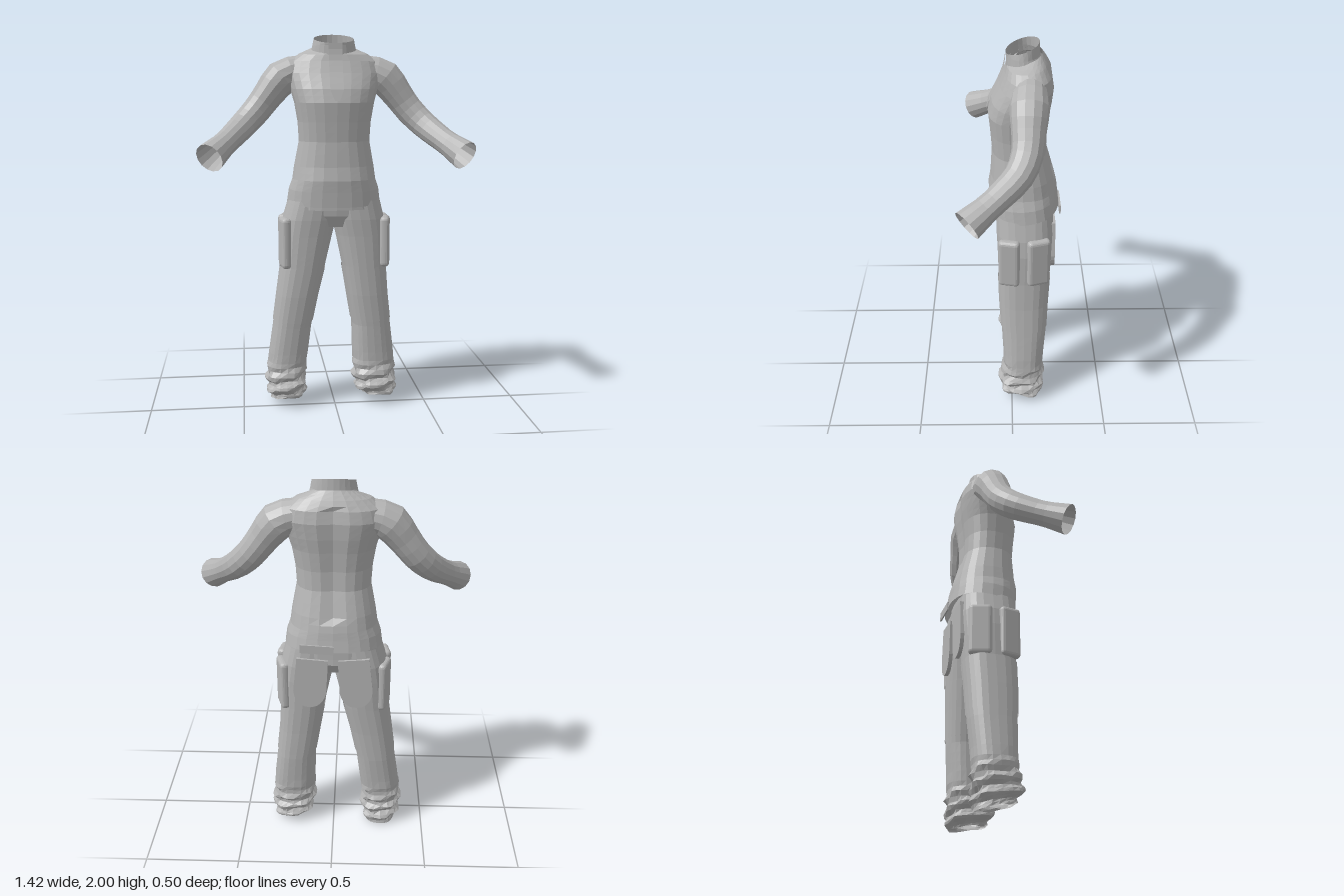
import * as THREE from 'three';
import { RoundedBoxGeometry } from 'three/addons/geometries/RoundedBoxGeometry.js';

const cloth = new THREE.MeshStandardMaterial({ color: 0xb4b4b4, flatShading: true, side: THREE.DoubleSide });
cloth.name = 'grey cloth';

const lerp = THREE.MathUtils.lerp;

function add(parent, name, geometry) {
  const mesh = new THREE.Mesh(geometry, cloth);
  mesh.name = name;
  parent.add(mesh);
  return mesh;
}

// Interpolates a table of rows along its first column
function sample(rows, y) {
  let i = 0;
  while (i < rows.length - 2 && y > rows[i + 1][0]) i++;
  const t = (y - rows[i][0]) / (rows[i + 1][0] - rows[i][0]);
  return rows[i].map((v, k) => lerp(v, rows[i + 1][k], t));
}

// Skin over horizontal rings, from the bottom up.
// Row: [y, xMin, xMax, zBack, zFront, tilt], tilt lifts the front edge
function loft(rows, { seg = 24, steps = 1, power = 0.85, rule = null } = {}) {
  const pos = [], idx = [];
  const heights = [];
  rows.forEach((r, i) => {
    if (i === rows.length - 1) heights.push(r[0]);
    else for (let s = 0; s < steps; s++) heights.push(lerp(r[0], rows[i + 1][0], s / steps));
  });
  const soft = (v) => Math.sign(v) * Math.abs(v) ** power;
  for (const h of heights) {
    const [y, x0, x1, zb, zf, tilt] = sample(rows, h);
    for (let j = 0; j < seg; j++) {
      const a = (j / seg) * Math.PI * 2;
      const u = soft(Math.cos(a)), w = soft(Math.sin(a));
      const p = new THREE.Vector3((x0 + x1) / 2 + (u * (x1 - x0)) / 2, y + tilt * w, (zb + zf) / 2 + (w * (zf - zb)) / 2);
      if (rule) rule(p, a, u, w);
      pos.push(p.x, p.y, p.z);
    }
  }
  for (let i = 0; i < heights.length - 1; i++) {
    for (let j = 0; j < seg; j++) {
      const a = i * seg + j, b = i * seg + ((j + 1) % seg), c = a + seg, d = b + seg;
      idx.push(a, c, b, b, c, d);
    }
  }
  const g = new THREE.BufferGeometry();
  g.setAttribute('position', new THREE.Float32BufferAttribute(pos, 3));
  g.setIndex(idx);
  g.computeVertexNormals();
  return g;
}

const shirtRows = [
  [1.13, -0.25, 0.25, -0.245, 0.11, -0.02],
  [1.20, -0.24, 0.24, -0.235, 0.115, -0.01],
  [1.25, -0.222, 0.222, -0.23, 0.12, 0],
  [1.32, -0.212, 0.212, -0.215, 0.108, 0],
  [1.45, -0.187, 0.187, -0.18, 0.10, 0],
  [1.55, -0.193, 0.193, -0.178, 0.108, 0],
  [1.65, -0.21, 0.21, -0.188, 0.118, 0],
  [1.72, -0.23, 0.23, -0.198, 0.10, 0],
  [1.80, -0.25, 0.25, -0.205, 0.06, 0],
  [1.86, -0.235, 0.235, -0.195, 0.035, 0],
  [1.90, -0.18, 0.18, -0.17, 0.025, -0.008],
  [1.925, -0.11, 0.11, -0.145, 0.022, -0.025],
];

function sleeve(side) {
  const curve = new THREE.CatmullRomCurve3([
    [0.17, 1.815, -0.085], [0.26, 1.785, -0.08], [0.335, 1.70, -0.075], [0.40, 1.615, -0.068],
    [0.47, 1.54, -0.03], [0.55, 1.465, 0.07], [0.645, 1.385, 0.205],
  ].map(([x, y, z]) => new THREE.Vector3(side * x, y, z)));
  const radii = [[0, 0.08], [0.15, 0.094], [0.32, 0.078], [0.5, 0.073], [0.65, 0.068], [0.82, 0.062], [1, 0.077]];
  const rings = 14, sides = 14;
  const g = new THREE.TubeGeometry(curve, rings, 1, sides);
  const p = g.attributes.position, v = new THREE.Vector3();
  for (let i = 0; i <= rings; i++) {
    const c = curve.getPointAt(i / rings), r = sample(radii, i / rings)[1];
    for (let j = 0; j <= sides; j++) {
      const k = i * (sides + 1) + j;
      v.fromBufferAttribute(p, k).sub(c).multiplyScalar(r).add(c);
      p.setXYZ(k, v.x, v.y, v.z);
    }
  }
  g.computeVertexNormals();
  return g;
}

// Crumpled cloth near the trouser hem
function crumple(p, a, u, w) {
  const k = THREE.MathUtils.clamp((0.27 - p.y) / 0.12, 0, 1) * THREE.MathUtils.clamp(p.y / 0.05, 0.2, 1);
  const d = 0.011 * k * (Math.sin(p.y * 95 + 2 * a) + 0.6 * Math.sin(5 * a - p.y * 60));
  p.x += u * d;
  p.z += w * d;
}

const legRows = {
  leftLeg: [
    [0.04, 0.16, 0.33, -0.15, 0.04, 0.015],
    [0.08, 0.125, 0.335, -0.17, 0.065, 0.01],
    [0.15, 0.11, 0.335, -0.17, 0.06, 0],
    [0.25, 0.105, 0.335, -0.17, 0.045, 0],
    [0.45, 0.10, 0.31, -0.185, 0.055, 0],
    [0.60, 0.075, 0.292, -0.19, 0.065, 0],
    [0.78, 0.045, 0.28, -0.2, 0.07, 0],
    [0.95, 0.01, 0.28, -0.21, 0.075, 0],
    [1.04, -0.012, 0.27, -0.215, 0.08, 0],
    [1.14, -0.02, 0.245, -0.21, 0.08, 0],
  ],
  rightLeg: [
    [0.025, -0.345, -0.175, -0.165, 0.03, 0.025],
    [0.08, -0.365, -0.165, -0.17, 0.065, 0.015],
    [0.15, -0.37, -0.165, -0.17, 0.06, 0],
    [0.25, -0.365, -0.15, -0.17, 0.045, 0],
    [0.45, -0.335, -0.125, -0.185, 0.055, 0],
    [0.60, -0.315, -0.095, -0.19, 0.065, 0],
    [0.78, -0.29, -0.05, -0.2, 0.07, 0],
    [0.95, -0.285, -0.01, -0.21, 0.075, 0],
    [1.04, -0.275, 0.012, -0.215, 0.08, 0],
    [1.14, -0.245, 0.02, -0.21, 0.08, 0],
  ],
};

// Thin raised band that follows a leg between two heights
function legBand(rows, low, high, grow) {
  const ring = (y) => {
    const [, x0, x1, zb, zf] = sample(rows, y);
    return [y, x0 - grow, x1 + grow, zb - grow, zf + grow, 0];
  };
  return loft([ring(low), ring((low + high) / 2), ring(high)], { power: 0.78 });
}

function seatPocketGeometry() {
  const s = new THREE.Shape();
  s.moveTo(-0.08, 0.13);
  s.lineTo(-0.085, -0.06);
  s.quadraticCurveTo(-0.07, -0.15, 0, -0.15);
  s.quadraticCurveTo(0.07, -0.15, 0.085, -0.06);
  s.lineTo(0.08, 0.13);
  return new THREE.ExtrudeGeometry(s, { depth: 0.02, bevelEnabled: false, curveSegments: 6 });
}

export function createModel() {
  const model = new THREE.Group();
  model.name = 'outfit';

  // Shirt
  const shirt = new THREE.Group();
  shirt.name = 'shirt';
  model.add(shirt);
  add(shirt, 'shirtBody', loft(shirtRows, {
    steps: 2,
    rule: (p, a, u, w) => {
      if (w < 0 && p.y > 1.3 && p.y < 1.88) p.z += 0.018 * Math.exp(-((p.x / 0.05) ** 2));
    },
  }));
  add(shirt, 'collar', loft([
    [1.905, -0.12, 0.12, -0.145, 0.028, -0.02],
    [1.94, -0.112, 0.112, -0.135, 0.028, 0.0],
    [1.975, -0.105, 0.105, -0.132, 0.03, -0.025],
  ], { power: 1 }));
  for (const side of [1, -1]) add(shirt, side > 0 ? 'leftSleeve' : 'rightSleeve', sleeve(side));

  // Neck placket laid over the chest, with a pointed end
  const placket = new THREE.PlaneGeometry(0.07, 0.29, 2, 10);
  const pp = placket.attributes.position;
  for (let i = 0; i < pp.count; i++) {
    const y = pp.getY(i) + 1.805;
    const narrow = Math.min(1, 0.35 + (y - 1.66) / 0.08);
    pp.setXYZ(i, pp.getX(i) * narrow, y, sample(shirtRows, Math.min(y, 1.925))[4] + 0.01);
  }
  placket.computeVertexNormals();
  add(shirt, 'placket', placket);

  // Loose flap at the back of the hem
  const flap = add(shirt, 'hemFlap', new THREE.BoxGeometry(0.17, 0.045, 0.008));
  flap.position.set(0.08, 1.165, -0.243);
  flap.rotation.z = 0.06;

  // Trousers
  const trousers = new THREE.Group();
  trousers.name = 'trousers';
  model.add(trousers);
  add(trousers, 'waist', loft([
    [1.0, -0.2, 0.2, -0.18, 0.05, 0],
    [1.06, -0.25, 0.25, -0.215, 0.075, 0],
    [1.17, -0.235, 0.235, -0.21, 0.085, 0],
  ]));
  add(trousers, 'waistband', loft([
    [1.095, -0.25, 0.25, -0.218, 0.1, 0],
    [1.13, -0.245, 0.245, -0.218, 0.1, 0],
  ]));
  for (const [name, rows] of Object.entries(legRows)) {
    const side = name === 'leftLeg' ? 1 : -1;
    add(trousers, name, loft(rows, { steps: 4, power: 0.78, rule: crumple }));
    add(trousers, name + 'KneePatch', legBand(rows, 0.48, 0.77, 0.004));

    // Side pockets, front and rear
    for (const [z, depth, x] of [[0.015, 0.11, 0.268], [-0.135, 0.12, 0.262]]) {
      const pocket = add(trousers, 'sidePocket', new RoundedBoxGeometry(0.05, 0.27, depth, 2, 0.02));
      pocket.position.set(side * x, 0.915, z);
      pocket.rotation.y = side * (z > -0.05 ? -0.2 : 0.3);
    }
    // Rounded pocket on the seat
    const seat = add(trousers, 'seatPocket', seatPocketGeometry());
    seat.position.set(side * 0.115, 0.965, -0.222);
    seat.rotation.z = side * 0.08;
  }
  return model;
}
